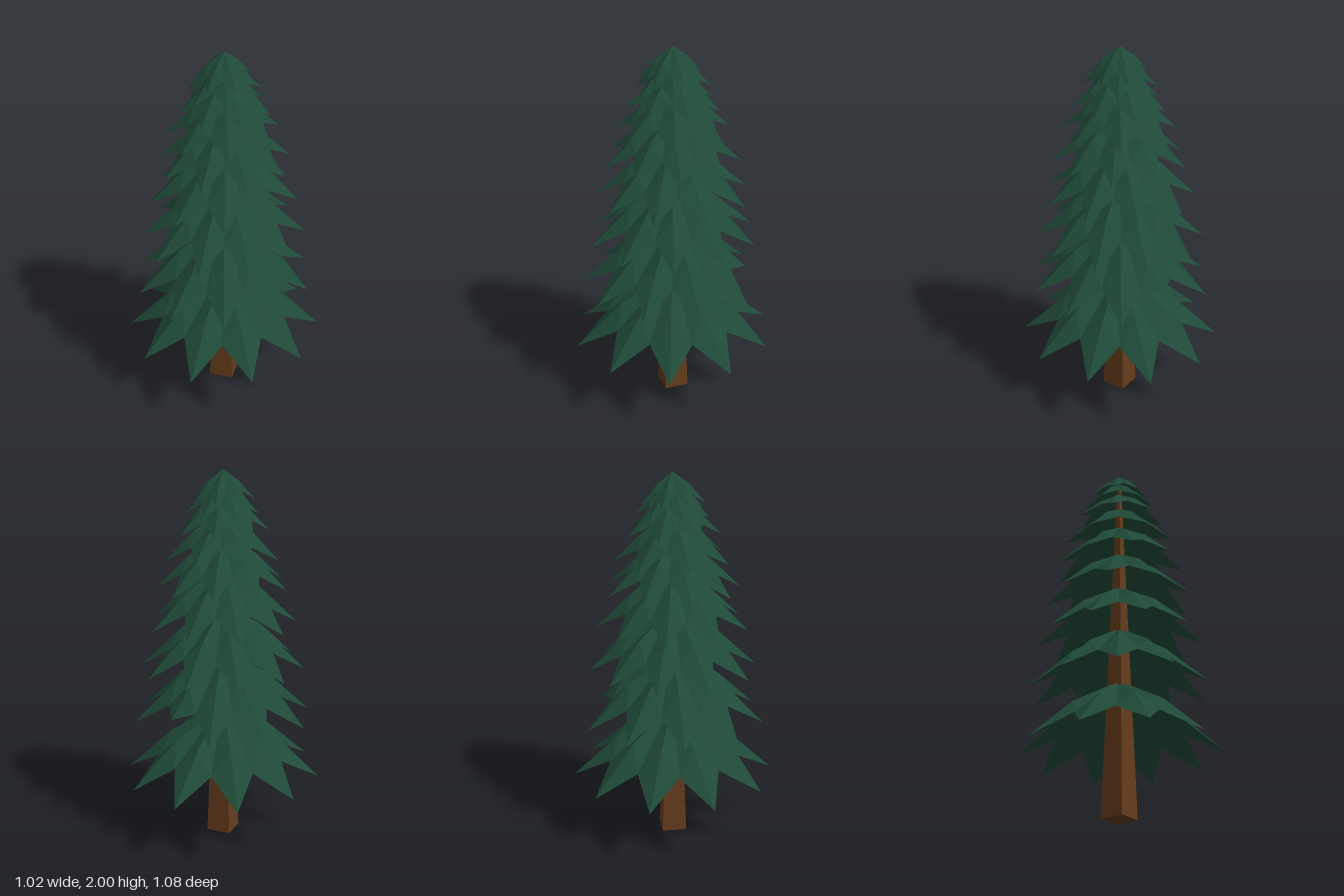
import * as THREE from 'three';

const green = new THREE.MeshStandardMaterial({ color: 0x1f4a37, flatShading: true, side: THREE.DoubleSide });
const brown = new THREE.MeshStandardMaterial({ color: 0x653c1c, flatShading: true });

// Tiers from bottom to top: [apex height, tip height, tip radius, tip count, turn in degrees]
const TIERS = [
  [0.74, 0.34, 0.52, 10, 12],
  [1.045, 0.67, 0.468, 10, 28.5],
  [1.295, 0.95, 0.43, 10, 10],
  [1.5, 1.19, 0.385, 9, 24],
  [1.67, 1.39, 0.34, 9, 4],
  [1.79, 1.545, 0.29, 7, 8],
  [1.885, 1.685, 0.235, 7, -10],
  [1.95, 1.78, 0.19, 7, 10],
  [2.0, 1.845, 0.16, 7, -8],
];

// A drooping star-shaped skirt: every bough has a raised ridge, a tip and a notch on each side
function boughTier([top, bottom, radius, count, turn], shortTip = -1) {
  const drop = top - bottom;
  const step = (Math.PI * 2) / count;
  const start = THREE.MathUtils.degToRad(turn);
  const at = (angle, r, fall) => [
    Math.cos(angle) * r * radius,
    top - fall * drop,
    Math.sin(angle) * r * radius * 1.045,
  ];
  const apex = [0, top, 0];
  const positions = [];
  for (let i = 0; i < count; i++) {
    const a = start + i * step;
    const ridge = at(a, 0.53, 0.42);
    const tip = i === shortTip ? at(a, 0.8, 0.78) : at(a, 1, 1);
    const before = at(a - step / 2, 0.67, 0.69);
    const after = at(a + step / 2, 0.67, 0.69);
    positions.push(
      ...apex, ...after, ...ridge,
      ...apex, ...ridge, ...before,
      ...ridge, ...after, ...tip,
      ...ridge, ...tip, ...before,
    );
  }
  const geometry = new THREE.BufferGeometry();
  geometry.setAttribute('position', new THREE.Float32BufferAttribute(positions, 3));
  geometry.computeVertexNormals();
  return new THREE.Mesh(geometry, green);
}

export function createModel() {
  const tree = new THREE.Group();
  tree.name = 'pineTree';

  // Square tapering trunk
  const trunk = new THREE.Mesh(new THREE.CylinderGeometry(0.012, 0.093, 1.93, 4), brown);
  trunk.name = 'trunk';
  trunk.position.y = 0.965;
  trunk.rotation.y = THREE.MathUtils.degToRad(54);
  tree.add(trunk);

  // Stacked boughs; the second tier has one stunted bough at the back
  TIERS.forEach((tier, i) => {
    const boughs = boughTier(tier, i === 1 ? 7 : -1);
    boughs.name = `boughTier${i + 1}`;
    tree.add(boughs);
  });

  return tree;
}
